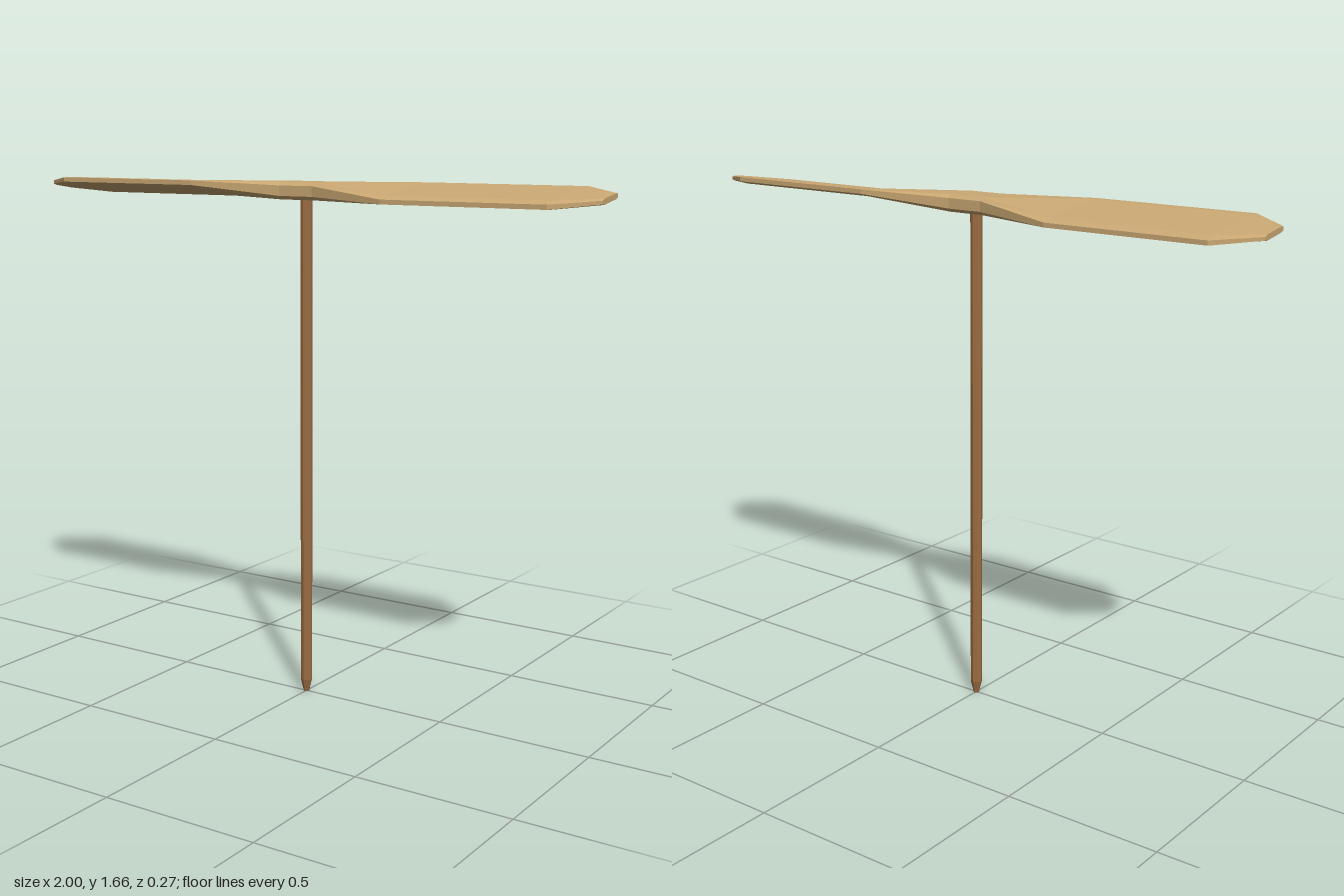
import * as THREE from 'three';

const bladeWood = new THREE.MeshStandardMaterial({ color: 0xcaa873, flatShading: true });
bladeWood.name = 'light wood';
const stemWood = new THREE.MeshStandardMaterial({ color: 0x9c6e42, flatShading: true });
stemWood.name = 'brown wood';

// Bevelled eight-point sections lofted along x, pitched opposite ways on each side
function bladeGeometry() {
  // x, half width, flat half width, half thickness, edge half thickness, pitch slope
  const half = [
    [0.06, 0.062, 0.05, 0.027, 0.016, 0],
    [0.345, 0.137, 0.106, 0.0125, 0.007, 0.15],
    [0.875, 0.137, 0.106, 0.0125, 0.007, 0.15],
    [1, 0.052, 0.04, 0.0085, 0.005, 0.15],
  ];
  const mirrored = half.map(([x, w, f, t, e, s]) => [-x, w, f, t, e, -s]).reverse();
  const rings = [...mirrored, ...half].map(([x, w, f, t, e, s]) =>
    [[w, -e], [w, e], [f, t], [-f, t], [-w, e], [-w, -e], [-f, -t], [f, -t]]
      .map(([z, y]) => [x, y - s * z, z]));

  const pos = [];
  const tri = (a, b, c) => pos.push(...a, ...b, ...c);
  for (let i = 0; i < rings.length - 1; i++) {
    for (let k = 0; k < 8; k++) {
      const n = (k + 1) % 8, r = rings[i], q = rings[i + 1];
      tri(r[k], q[n], r[n]);
      tri(r[k], q[k], q[n]);
    }
  }
  // End caps
  const first = rings[0], last = rings[rings.length - 1];
  for (let k = 1; k < 7; k++) {
    tri(first[0], first[k], first[k + 1]);
    tri(last[0], last[k + 1], last[k]);
  }
  const geo = new THREE.BufferGeometry();
  geo.setAttribute('position', new THREE.Float32BufferAttribute(pos, 3));
  geo.computeVertexNormals();
  return geo;
}

export function createModel() {
  const model = new THREE.Group();
  model.name = 'handSpinner';

  const propeller = new THREE.Mesh(bladeGeometry(), bladeWood);
  propeller.name = 'propeller';
  propeller.position.y = 1.628;
  model.add(propeller);

  // Stem with a tapered foot
  const stem = new THREE.Group();
  stem.name = 'stem';
  const addPart = (name, rTop, rBottom, y0, y1) => {
    const part = new THREE.Mesh(
      new THREE.CylinderGeometry(rTop, rBottom, y1 - y0, 8, 1, false), stemWood);
    part.name = name;
    part.position.y = (y0 + y1) / 2;
    stem.add(part);
  };
  addPart('shaft', 0.019, 0.019, 0.042, 1.615);
  addPart('taperedFoot', 0.019, 0.009, 0, 0.042);
  model.add(stem);

  return model;
}
